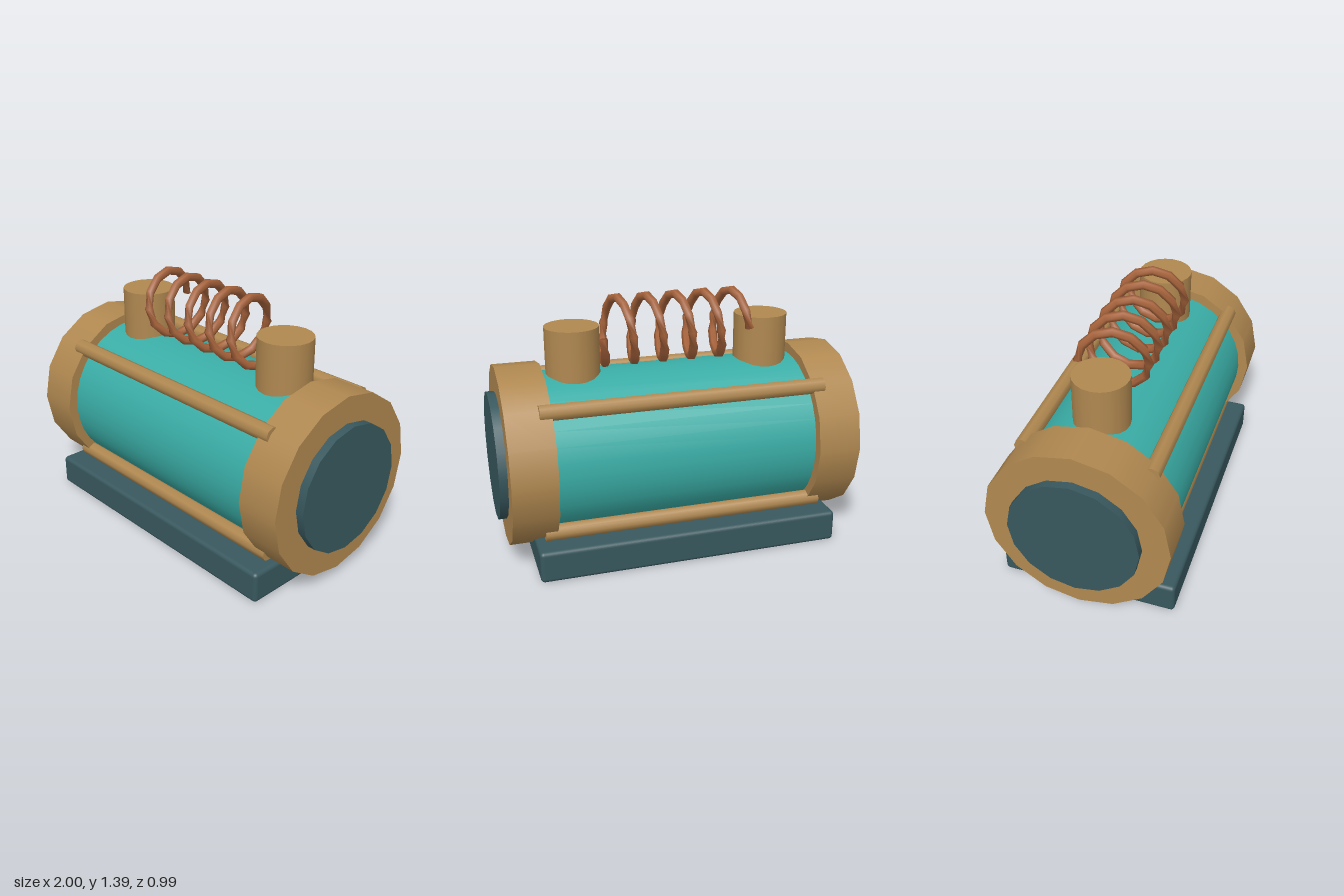
import * as THREE from 'three';
import { RoundedBoxGeometry } from 'three/addons/geometries/RoundedBoxGeometry.js';

const AXIS_Y = 0.548;

function material(name, color, side = THREE.FrontSide) {
  const m = new THREE.MeshStandardMaterial({ color, side });
  m.name = name;
  return m;
}

// Helical wire whose rings keep a vertical reference, so the wire twists at each turn's sides
function coilGeometry(turns, perTurn, sides, length, radius, wire) {
  const pos = [], index = [];
  const n = turns * perTurn;
  const up = new THREE.Vector3(0, 1, 0);
  const pitch = length / (turns * Math.PI * 2);
  for (let i = 0; i <= n; i++) {
    const a = (i / perTurn) * Math.PI * 2;
    const c = new THREE.Vector3(-length / 2 + pitch * a, radius * Math.sin(a), -radius * Math.cos(a));
    const t = new THREE.Vector3(pitch, radius * Math.cos(a), radius * Math.sin(a)).normalize();
    const u = new THREE.Vector3().crossVectors(up, t).normalize();
    const v = new THREE.Vector3().crossVectors(t, u);
    for (let j = 0; j < sides; j++) {
      const b = (j / sides) * Math.PI * 2;
      const p = c.clone().addScaledVector(u, wire * Math.cos(b)).addScaledVector(v, wire * Math.sin(b));
      pos.push(p.x, p.y, p.z);
    }
  }
  for (let i = 0; i < n; i++) {
    for (let j = 0; j < sides; j++) {
      const k = (j + 1) % sides;
      const a = i * sides + j, b = i * sides + k;
      index.push(a, b, a + sides, b, b + sides, a + sides);
    }
  }
  // end caps
  for (let j = 1; j < sides - 1; j++) {
    const e = n * sides;
    index.push(0, j + 1, j, e, e + j, e + j + 1);
  }
  const g = new THREE.BufferGeometry();
  g.setAttribute('position', new THREE.Float32BufferAttribute(pos, 3));
  g.setIndex(index);
  g.computeVertexNormals();
  return g;
}

export function createModel() {
  const model = new THREE.Group();
  const brass = material('brass', 0xb08850);
  const teal = material('teal', 0x3aada6);
  const slate = material('darkSlate', 0x38585e);
  const copper = material('copper', 0xa8643c, THREE.DoubleSide);

  function add(name, geometry, mat, x, y, z) {
    const mesh = new THREE.Mesh(geometry, mat);
    mesh.name = name;
    mesh.position.set(x, y, z);
    model.add(mesh);
    return mesh;
  }
  // Cylinder lying along x
  const lying = (radius, length, sides) =>
    new THREE.CylinderGeometry(radius, radius, length, sides).rotateZ(Math.PI / 2);

  // Base block and main drum
  add('base', new RoundedBoxGeometry(1.665, 0.174, 0.97, 3, 0.022), slate, 0, 0.087, 0);
  add('drum', lying(0.436, 1.5, 32), teal, 0, AXIS_Y, 0);

  // Ends: collar, end plate and post on each side
  for (const s of [-1, 1]) {
    const side = s > 0 ? 'left' : 'right';
    add(side + 'Collar', lying(0.493, 0.24, 16), brass, s * 0.835, AXIS_Y, 0);
    add(side + 'EndPlate', lying(0.348, 0.12, 16), slate, s * 0.94, AXIS_Y, 0);
    add(side + 'Post', new THREE.CylinderGeometry(0.148, 0.148, 0.335, 20), brass, s * 0.538, 1.0675, 0);
  }

  // Four tie rods around the drum
  for (const y of [-1, 1]) {
    for (const z of [-1, 1]) {
      const name = (y > 0 ? 'upper' : 'lower') + (z > 0 ? 'Front' : 'Back') + 'Rod';
      add(name, lying(0.045, 1.56, 8), brass, 0, AXIS_Y + y * 0.335, z * 0.335);
    }
  }

  // Copper coil between the posts
  add('coil', coilGeometry(5, 12, 6, 0.81, 0.176, 0.025), copper, 0, 1.194, 0);

  return model;
}
